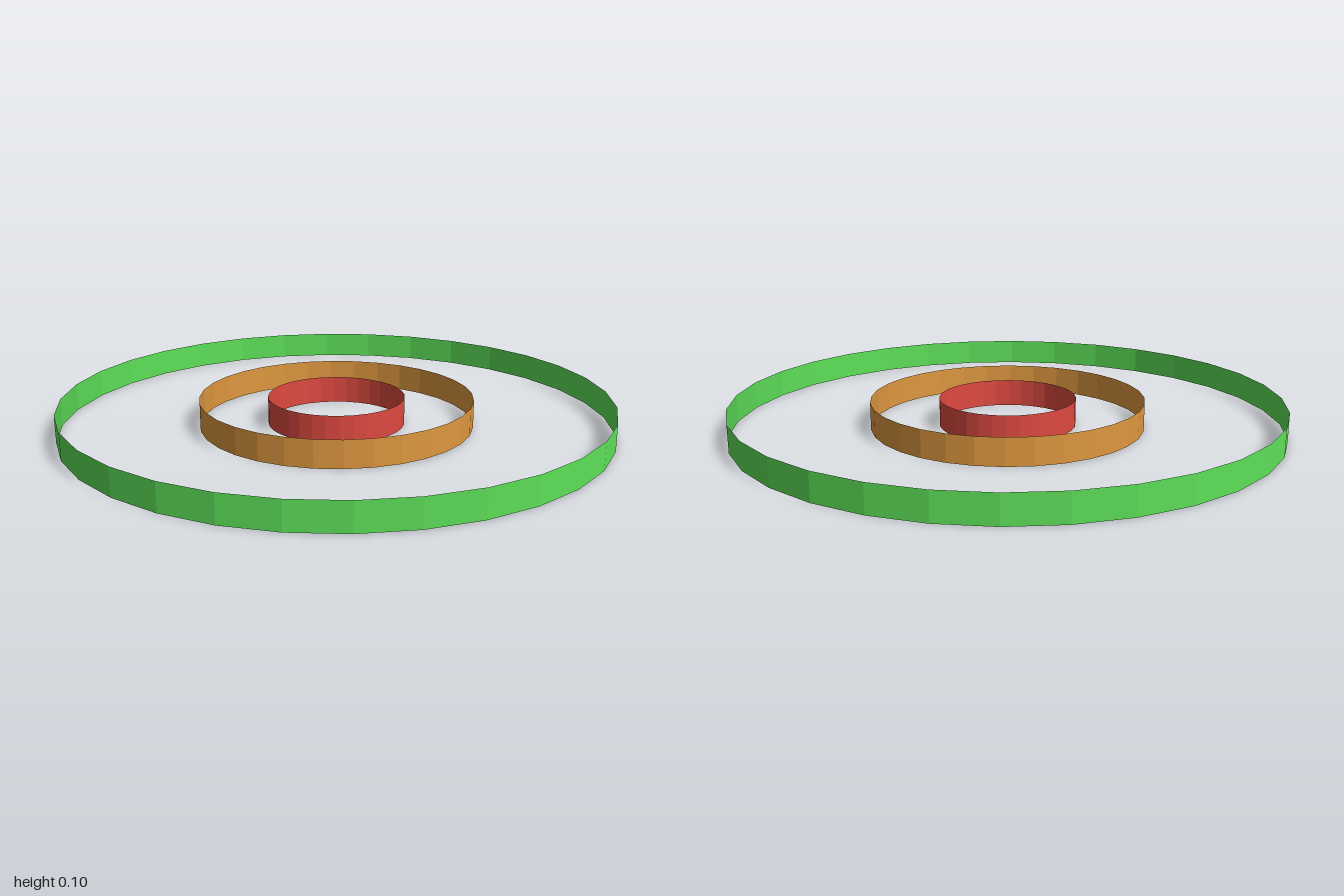
import * as THREE from 'three';

const HEIGHT = 0.1;
const SIDES = 32;

// Thin open band standing on the ground
function makeBand(name, radius, color) {
  const geometry = new THREE.CylinderGeometry(radius, radius, HEIGHT, SIDES, 1, true);
  geometry.translate(0, HEIGHT / 2, 0);
  const material = new THREE.MeshStandardMaterial({
    color,
    flatShading: true,
    side: THREE.DoubleSide,
  });
  const band = new THREE.Mesh(geometry, material);
  band.name = name;
  return band;
}

export function createModel() {
  const group = new THREE.Group();
  group.name = 'concentricRings';

  // Three concentric rings
  group.add(
    makeBand('outerRing', 1, 0x5de058),
    makeBand('middleRing', 0.5, 0xde983f),
    makeBand('innerRing', 0.25, 0xde4a40),
  );
  return group;
}
